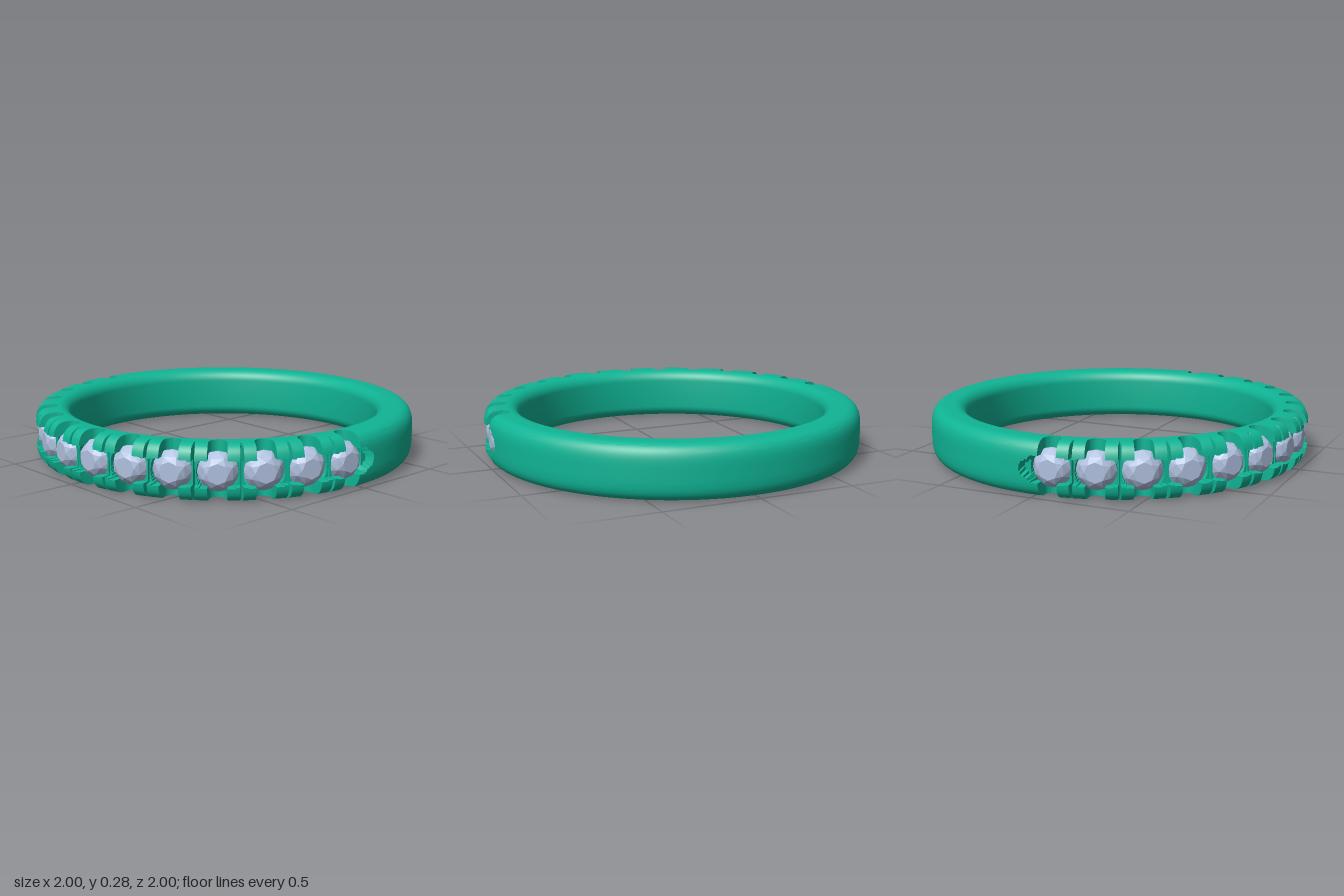
import * as THREE from 'three';
import { toCreasedNormals } from 'three/addons/utils/BufferGeometryUtils.js';
import { ConvexGeometry } from 'three/addons/geometries/ConvexGeometry.js';

const COUNT = 14;            // stones
const PITCH = 0.2287;        // angle between stones
const ARC = 0.97;            // radius used to turn angles into arc lengths
const HALF = PITCH * ARC / 2;
const H = 0.1375;            // half height of the band

// How far out the metal may reach at angle a and height h from the middle
function cutRadius(a, h) {
  const i = Math.min(COUNT - 1, Math.max(0, Math.round(a / PITCH + 6.5)));
  const centre = (i - 6.5) * PITCH;
  const s = Math.abs(a - centre) * ARC;
  const inner = Math.abs(a) < 6.5 * PITCH;
  const y = Math.abs(h), d = Math.hypot(s, y);
  let r = 2;
  // U-shaped side opening at each stone
  if (s < 0.045) r = Math.min(r, 0.925 - Math.sqrt(0.045 ** 2 - s * s));
  // conical stone seat, leaving the square prongs at the corners
  if (d < 0.1 && !(s > 0.045 && y > 0.065)) r = Math.min(r, Math.max(0.84, 0.92 - (0.1 - d) * 0.9));
  // shallow channel linking the stones, with rounded ends
  if (inner ? y < 0.06 : (s / 0.14) ** 2 + (y / 0.06) ** 2 < 1) r = Math.min(r, 0.955);
  // V-shaped slit between neighbouring prongs
  const gap = HALF - s;
  if (inner && gap < 0.008) r = Math.min(r, 0.925 + gap / 0.008 * 0.065);
  return r;
}

// Closed cross-section: outer curve upwards, top, bore downwards, bottom
function bandProfile() {
  const top = [];
  for (const h of [0, 0.02, 0.035, 0.045, 0.0595, 0.0605, 0.0645, 0.0655, 0.075, 0.085,
    0.095, 0.104, 0.112, 0.12, 0.127, 0.132, 0.1355, H]) {
    top.push([0.93 + 0.07 * Math.sqrt(Math.max(0, 1 - (h / H) ** 4)), h]);
  }
  top.push([0.91, H], [0.89, H]);
  for (let i = 0; i <= 8; i++) {
    const t = i / 8 * Math.PI / 2;
    top.push([0.875 - 0.062 * Math.sin(t), H - 0.06 * (1 - Math.cos(t))]);
  }
  top.push([0.813, 0]);
  const bottom = top.slice(1, -1).reverse().map(([r, h]) => [r, -h]);
  // start at the bore's middle so the loop runs bottom, outside, top, inside
  return [top[top.length - 1], ...bottom, ...top.slice(0, -1)];
}

// Column angles: close together around each setting, even around the plain back
function bandAngles() {
  const half = [0.008, 0.016, 0.024, 0.032, 0.038, 0.042, 0.0445, 0.0455, 0.055, 0.065,
    0.075, 0.084, 0.091, 0.096, 0.0995, 0.1005, HALF - 0.0081, HALF - 0.0079, HALF - 0.004];
  const offsets = [-HALF, ...half.map(s => -s).reverse(), 0, ...half];
  const angles = [];
  for (let i = 0; i < COUNT; i++) {
    for (const s of offsets) angles.push((i - 6.5) * PITCH + s / ARC);
  }
  const end = 7 * PITCH, fine = 0.04;
  for (let k = 0; k < 10; k++) angles.push(end + fine * k / 10);
  const span = 2 * (Math.PI - end - fine);
  for (let k = 0; k < 72; k++) angles.push(end + fine + span * k / 72);
  for (let k = 0; k < 10; k++) angles.push(2 * Math.PI - end - fine + fine * k / 10);
  return angles;
}

function bandGeometry() {
  const profile = bandProfile(), angles = bandAngles();
  const n = profile.length, m = angles.length;
  const pos = [], index = [];
  angles.forEach((a, c) => {
    const wrapped = a > Math.PI ? a - 2 * Math.PI : a;
    profile.forEach(([r0, h], k) => {
      const r = Math.min(r0, cutRadius(wrapped, h));
      pos.push(r * Math.sin(a), h + H, r * Math.cos(a));
      const c2 = (c + 1) % m, k2 = (k + 1) % n;
      const p = c * n + k, q = c2 * n + k, u = c2 * n + k2, v = c * n + k2;
      index.push(p, q, u, p, u, v);
    });
  });
  const g = new THREE.BufferGeometry();
  g.setAttribute('position', new THREE.Float32BufferAttribute(pos, 3));
  g.setIndex(index);
  return toCreasedNormals(g, 0.6);
}

// Round faceted stone, its table facing +z
function stoneGeometry() {
  const points = [new THREE.Vector3(0, 0, -0.085)];
  const ring = (sides, radius, z, turn) => {
    for (let i = 0; i < sides; i++) {
      const t = (i + turn) / sides * Math.PI * 2;
      points.push(new THREE.Vector3(radius * Math.cos(t), radius * Math.sin(t), z));
    }
  };
  ring(8, 0.05, 0.06, 0);       // table
  ring(8, 0.075, 0.043, 0.5);   // crown
  ring(16, 0.096, 0.007, 0);    // girdle
  ring(16, 0.096, -0.004, 0);
  ring(8, 0.052, -0.046, 0.5);  // pavilion
  return new ConvexGeometry(points);
}

export function createModel() {
  const model = new THREE.Group();
  model.name = 'ring';

  const band = new THREE.Mesh(bandGeometry(), new THREE.MeshStandardMaterial({ color: 0x10b495 }));
  band.name = 'band';
  model.add(band);

  // Stones set around the front half
  const stones = new THREE.Group();
  stones.name = 'stones';
  const geometry = stoneGeometry();
  const material = new THREE.MeshStandardMaterial({ color: 0xb0c0de, flatShading: true });
  for (let i = 0; i < COUNT; i++) {
    const a = (i - 6.5) * PITCH;
    const stone = new THREE.Mesh(geometry, material);
    stone.name = 'stone' + (i + 1);
    stone.position.set(0.925 * Math.sin(a), H, 0.925 * Math.cos(a));
    stone.rotation.y = a;
    stones.add(stone);
  }
  model.add(stones);
  return model;
}
